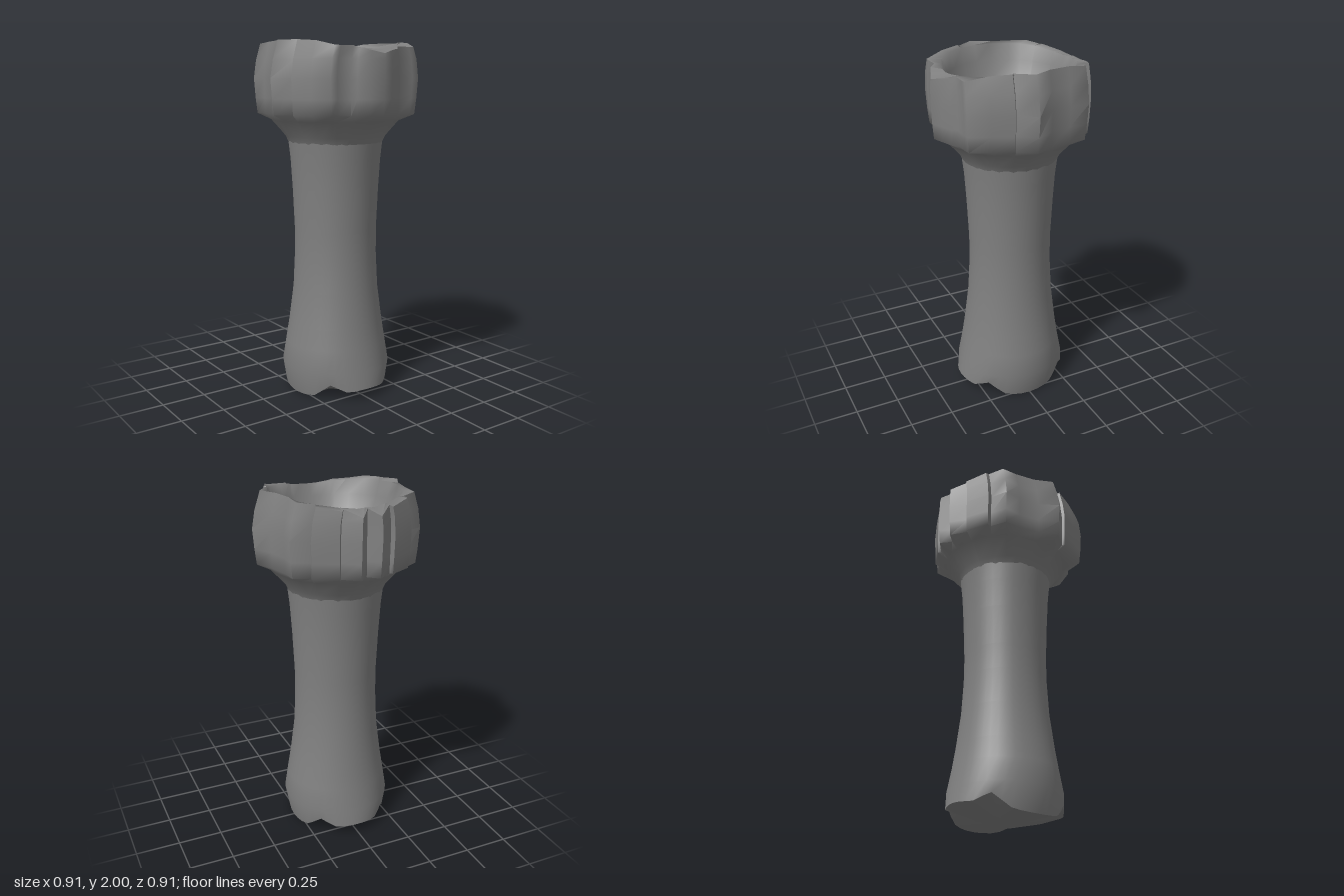
import * as THREE from 'three';
import { toCreasedNormals } from 'three/addons/utils/BufferGeometryUtils.js';

// Skin a list of closed rings (arrays of Vector3, counterclockwise from above)
function loft(rings, crease) {
  const n = rings[0].length, index = [];
  for (let i = 0; i < rings.length - 1; i++) {
    for (let j = 0; j < n; j++) {
      const k = (j + 1) % n;
      const a = i * n + j, b = i * n + k, c = b + n, d = a + n;
      index.push(a, b, c, a, c, d);
    }
  }
  const g = new THREE.BufferGeometry().setFromPoints(rings.flat());
  g.setIndex(index);
  return toCreasedNormals(g, crease);
}

// Elliptical ring; sag lifts the front and back edges, notch lifts the four diagonals
function ellipse(rx, rz, y, sag = 0, notch = 0, n = 40) {
  return Array.from({ length: n }, (_, i) => {
    const a = (i / n) * Math.PI * 2;
    const z = rz * Math.cos(a);
    const lift = sag * (z / 0.335) ** 2 + notch * Math.sin(2 * a) ** 12;
    return new THREE.Vector3(rx * Math.sin(a), y + lift, z);
  });
}

// Jagged plate outline of the collar, front to back along +x, then mirrored
const half = [
  [0, 0.453], [0.07, 0.425], [0.14, 0.4], [0.16, 0.37], [0.25, 0.375], [0.29, 0.375],
  [0.34, 0.265], [0.388, 0.155], [0.373, 0.145], [0.455, 0.055], [0.39, -0.05],
  [0.365, -0.17], [0.372, -0.272], [0.275, -0.31], [0.284, -0.338], [0.155, -0.4],
  [0.14, -0.38], [0.057, -0.455], [0, -0.39],
];
const outline = [...half, ...half.slice(1, -1).reverse().map(([x, z]) => [-x, z])];

// Collar ring: the outline narrowed in x, blended towards a circle of radius r,
// with its front and back lowered by drop
function plateRing(sx, y, drop = 0, blend = 0, r = 0.4) {
  return outline.map(([x, z]) => {
    const l = Math.hypot(x, z);
    const px = THREE.MathUtils.lerp(x * sx, (x / l) * r, blend);
    const pz = THREE.MathUtils.lerp(z, (z / l) * r, blend);
    return new THREE.Vector3(px, y - drop * (pz / 0.45) ** 4, pz);
  });
}

export function createModel() {
  const group = new THREE.Group();
  const material = new THREE.MeshStandardMaterial({ color: 0x808080, side: THREE.DoubleSide });
  const add = (name, geometry) => {
    const mesh = new THREE.Mesh(geometry, material);
    mesh.name = name;
    group.add(mesh);
  };

  // Shaft with a curved, notched base and a slim waist: [rx, rz, y, sag, notch]
  add('shaft', loft([
    [0, 0, 0], [0.14, 0.168, 0, 0.06], [0.28, 0.335, 0, 0.06, 0.06],
    [0.31, 0.32, 0.15], [0.292, 0.293, 0.28], [0.272, 0.275, 0.4],
    [0.246, 0.25, 0.6], [0.237, 0.238, 0.8], [0.237, 0.237, 0.95],
    [0.247, 0.247, 1.18], [0.258, 0.257, 1.35], [0.27, 0.27, 1.46],
  ].map((p) => ellipse(...p)), 0.8));

  // Flared neck swelling into the plated collar, up to its rim
  add('collar', loft([
    plateRing(1, 1.44, 0, 1, 0.266),
    plateRing(1, 1.48, 0, 1, 0.285),
    plateRing(1, 1.57, 0, 0.85, 0.35),
    plateRing(0.98, 1.605, 0, 0.2, 0.4),
    plateRing(0.99, 1.69, 0, 0.08),
    plateRing(1, 1.8),
    plateRing(0.965, 1.9, 0, 0.04),
    plateRing(0.89, 2, 0.075, 0.1),
  ], 1.25));

  // Broad rim around a rounded bowl
  add('bowl', loft([
    plateRing(0.89, 2, 0.075, 0.1),
    plateRing(1, 1.985, 0.075, 0.9, 0.355),
    plateRing(1, 1.9, 0.04, 1, 0.335),
    plateRing(1, 1.81, 0, 1, 0.305),
    plateRing(1, 1.73, 0, 1, 0.26),
    plateRing(1, 1.66, 0, 1, 0.19),
    plateRing(1, 1.615, 0, 1, 0.1),
    plateRing(1, 1.6, 0, 1, 0),
  ], 1.3));

  return group;
}
